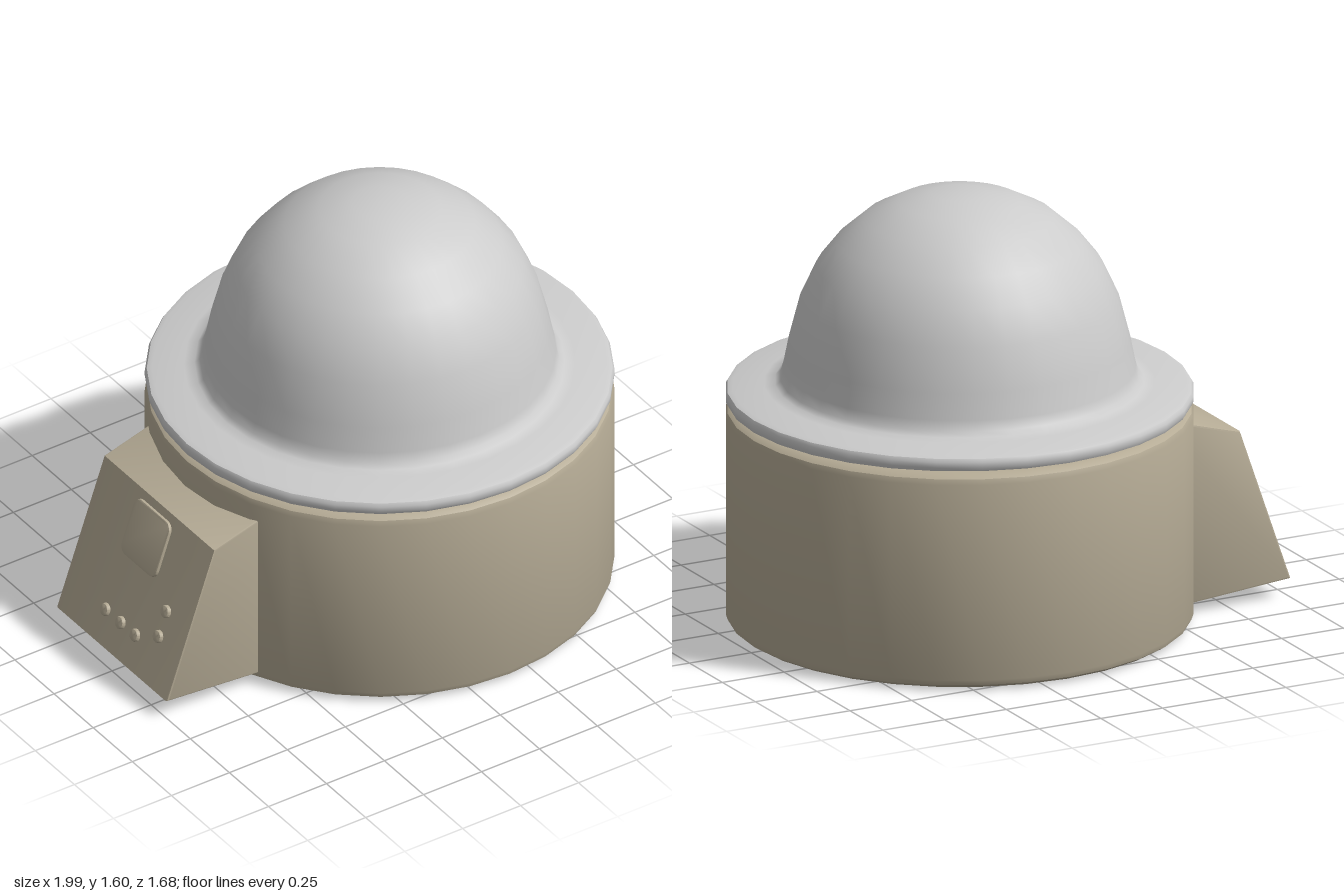
import * as THREE from 'three';
import { toCreasedNormals } from 'three/addons/utils/BufferGeometryUtils.js';

const SEGMENTS = 32;
const AXIS_X = 0.155; // centre of the round body

export function createModel() {
  const model = new THREE.Group();
  model.name = 'domedMachine';
  const grey = new THREE.MeshStandardMaterial({ color: 0xcccccc });
  const beige = new THREE.MeshStandardMaterial({ color: 0xb5ab95 });

  const add = (parent, name, geometry, material) => {
    const mesh = new THREE.Mesh(geometry, material);
    mesh.name = name;
    parent.add(mesh);
    return mesh;
  };
  const vectors = (points) => points.map(([x, y]) => new THREE.Vector2(x, y));
  const lathe = (points, segments, crease = 0.6) =>
    toCreasedNormals(new THREE.LatheGeometry(vectors(points), segments), crease);

  // Drum with rounded top and bottom rims
  const drum = lathe([
    [0, 0], [0.79, 0.003], [0.815, 0.008], [0.833, 0.02], [0.84, 0.04],
    [0.84, 0.775], [0.833, 0.795], [0.815, 0.807], [0.79, 0.812], [0, 0.812],
  ], SEGMENTS);
  add(model, 'drumBody', drum, beige).position.x = AXIS_X;

  // Dome flaring into a flat flange
  const dome = lathe([
    [0, 0.82], [0.815, 0.82], [0.833, 0.826], [0.84, 0.84], [0.84, 0.86],
    [0.833, 0.872], [0.815, 0.878], [0.70, 0.889], [0.662, 0.896],
    [0.643, 0.912], [0.632, 0.95], [0.613, 1.045], [0.572, 1.203],
    [0.514, 1.329], [0.44, 1.423], [0.342, 1.509], [0.22, 1.572],
    [0.10, 1.6], [0, 1.602],
  ], SEGMENTS, 0.7);
  add(model, 'domeLid', dome, grey).position.x = AXIS_X;

  // Wedge-shaped control box on the side
  const bevel = 0.008;
  const boxShape = new THREE.Shape(vectors([
    [-1, 0.072], [-0.5, 0.031], [-0.5, 0.742], [-0.795, 0.657],
  ]));
  const box = new THREE.ExtrudeGeometry(boxShape, {
    depth: 0.705 - 2 * bevel, bevelThickness: bevel, bevelSize: bevel,
    bevelOffset: -bevel, bevelSegments: 2,
  });
  box.translate(0, 0, -0.355 + bevel);
  add(model, 'controlBox', toCreasedNormals(box, 0.6), beige);

  // Sloping panel: local y runs up the slope, local -x points outwards
  const panel = new THREE.Group();
  panel.name = 'controlPanel';
  panel.position.set(-1, 0.072, 0);
  panel.rotation.z = -Math.atan2(0.205, 0.585);
  model.add(panel);

  // Raised screen with rounded corners
  const h = 0.112, r = 0.035;
  const screenShape = new THREE.Shape();
  screenShape.absarc(h - r, h - r, r, 0, Math.PI / 2);
  screenShape.absarc(r - h, h - r, r, Math.PI / 2, Math.PI);
  screenShape.absarc(r - h, r - h, r, Math.PI, Math.PI * 1.5);
  screenShape.absarc(h - r, r - h, r, Math.PI * 1.5, Math.PI * 2);
  const screen = new THREE.ExtrudeGeometry(screenShape, {
    depth: 0.006, bevelThickness: 0.006, bevelSize: 0.006, bevelOffset: -0.006,
    bevelSegments: 2, curveSegments: 5,
  });
  const screenMesh = add(panel, 'screen', toCreasedNormals(screen, 0.6), beige);
  screenMesh.position.set(0, 0.475, -0.006);
  screenMesh.rotation.y = -Math.PI / 2;

  // Round buttons: a row of three and a pair above one another
  const button = lathe([
    [0.024, -0.005], [0.024, 0.008], [0.021, 0.013], [0.014, 0.016], [0, 0.017],
  ], 16);
  const buttonSpots = [[0.13, -0.1], [0.13, -0.003], [0.13, 0.09], [0.19, 0.208], [0.292, 0.208]];
  buttonSpots.forEach(([up, z], i) => {
    const mesh = add(panel, `button${i + 1}`, button, beige);
    mesh.position.set(0, up, z);
    mesh.rotation.z = Math.PI / 2;
  });

  return model;
}
